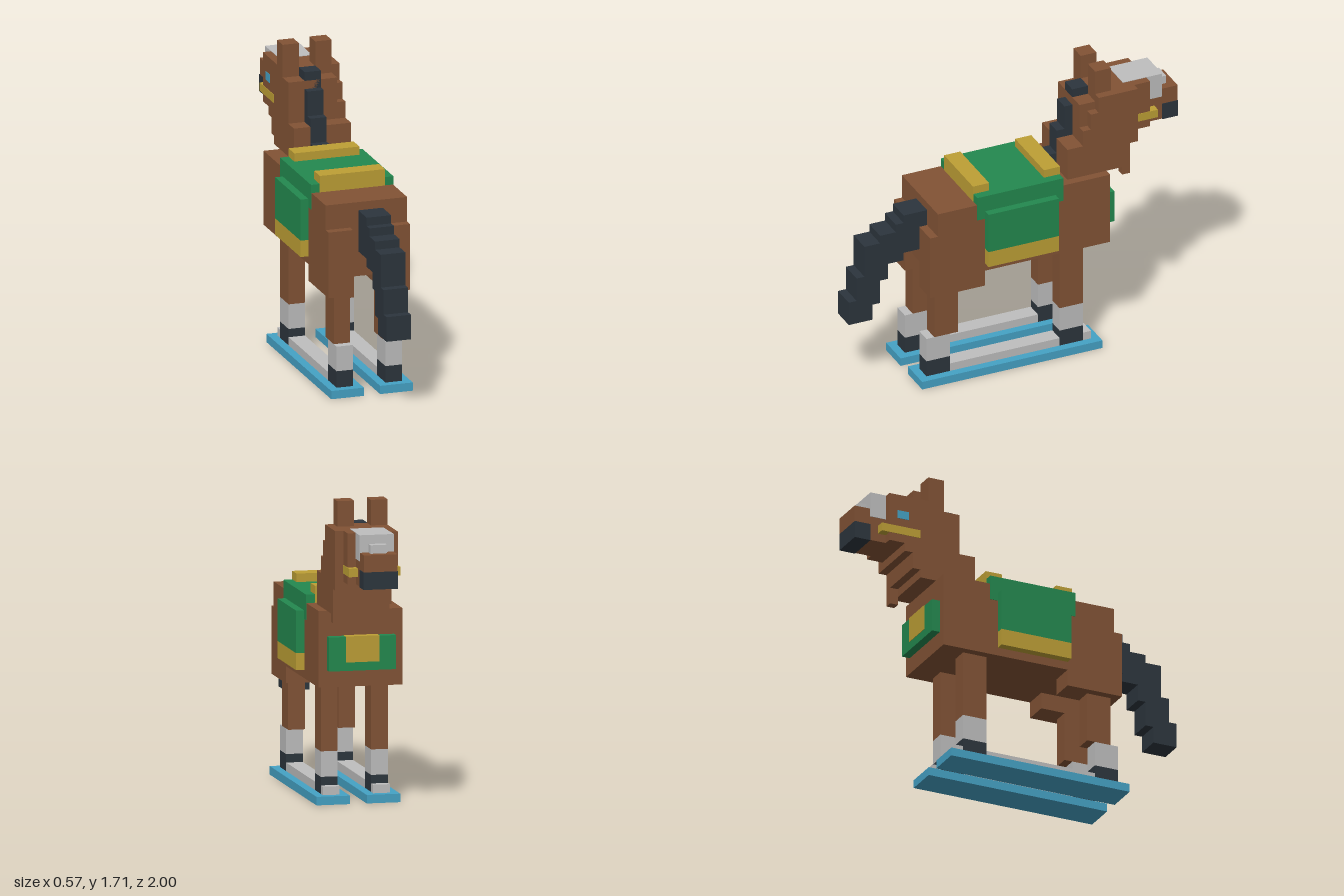
import * as THREE from 'three';

// One block unit: the model is 42 blocks long.
const U = 1 / 21;
// Small lift that keeps flush painted blocks from fighting with what is below.
const E = 0.06;

const material = (name, color) => {
  const m = new THREE.MeshStandardMaterial({ color });
  m.name = name;
  return m;
};

export function createModel() {
  const brown = material('brown coat', 0x825335);
  const dark = material('dark hair', 0x2c353d);
  const grey = material('pale grey', 0xbebebe);
  const green = material('green cloth', 0x23894f);
  const gold = material('gold trim', 0xbd9f35);
  const blue = material('blue', 0x45a2c5);

  const model = new THREE.Group();
  model.name = 'horse';

  const add = (name, geometry, mat) => {
    const mesh = new THREE.Mesh(geometry, mat);
    mesh.name = name;
    model.add(mesh);
  };

  // Box from its block limits along x, y and z.
  const box = (name, mat, x0, x1, y0, y1, z0, z1) => {
    const g = new THREE.BoxGeometry((x1 - x0) * U, (y1 - y0) * U, (z1 - z0) * U);
    g.translate((x0 + x1) / 2 * U, (y0 + y1) / 2 * U, (z0 + z1) / 2 * U);
    add(name, g, mat);
  };

  // The same box on both sides of the body.
  const pair = (name, mat, x0, x1, ...rest) => {
    box(name + 'Left', mat, x0, x1, ...rest);
    box(name + 'Right', mat, -x1, -x0, ...rest);
  };

  // Stepped side profile of [z, y] points, extruded across x.
  const profile = (name, mat, x0, x1, points) => {
    const shape = new THREE.Shape(points.map(([z, y]) => new THREE.Vector2(z * U, y * U)));
    const g = new THREE.ExtrudeGeometry(shape, { depth: (x1 - x0) * U, bevelEnabled: false });
    g.rotateY(-Math.PI / 2);
    g.translate(x1 * U, 0, 0);
    add(name, g, mat);
  };

  // Body and thighs
  box('body', brown, -5, 5, 14, 23, -11, 11);
  pair('thigh', brown, 2, 5, 12, 20, 5, 12);

  // Legs, socks and hooves
  pair('frontLeg', brown, 2, 4, 6, 14, -8, -5);
  pair('hindLeg', brown, 2, 4, 6, 12, 8, 11);
  for (const [label, z] of [['front', -8], ['hind', 9]]) {
    pair(label + 'Sock', grey, 2, 4, 3, 6, z, z + 3);
    pair(label + 'Hoof', dark, 2, 4, 1, 3, z, z + 3);
  }

  // Skis with a pale strip between and ahead of the hooves
  pair('ski', blue, 1, 5, 0, 1, -10, 13);
  pair('skiStrip', grey, 2, 4, 1, 2, -5, 9);
  pair('skiToe', grey, 2, 4, 1, 2, -9, -8);

  // Tail
  profile('tail', dark, -1, 2, [
    [18, 9], [21, 9], [21, 12], [20, 12], [20, 15], [19, 15], [19, 19], [17, 19],
    [17, 20], [15, 20], [15, 21], [14, 21], [14, 22], [11, 22], [11, 17], [14, 17],
    [14, 16], [16, 16], [16, 14], [17, 14], [17, 11], [18, 11],
  ]);

  // Neck with back of the head
  profile('neck', brown, -3, 3, [
    [-6, 23], [-6, 27], [-8, 27], [-8, 32], [-10, 32], [-10, 33], [-15, 33],
    [-15, 26], [-14, 26], [-14, 24], [-13, 24], [-13, 23],
  ]);
  // Thicker layer on one side of the neck
  profile('neckSide', brown, 3, 4, [
    [-6, 23], [-6, 27], [-8, 27], [-8, 29], [-9, 29], [-9, 31], [-10, 31], [-10, 33],
    [-15, 33], [-15, 26], [-14, 26], [-14, 22], [-13, 22], [-13, 23],
  ]);

  // Mane
  profile('mane', dark, -1, 1, [
    [-5, 23], [-5, 25], [-6, 25], [-6, 28], [-7, 28], [-7, 31], [-8, 31], [-8, 33 + E],
    [-10, 33 + E], [-10, 30], [-9, 30], [-9, 23],
  ]);

  // Head, muzzle and ears
  box('head', brown, -3, 3, 27, 33, -17, -15);
  box('muzzle', brown, -2, 2, 27, 31, -21, -17);
  box('nose', dark, -2 - E, 2 + E, 27 - E, 29, -21 - E / 4, -19);
  pair('ear', brown, 1, 3, 33, 36, -12, -10);

  // Pale blaze
  box('blazeTop', grey, -2, 2, 32, 33 + E, -17, -14);
  box('blazeFront', grey, -2 - E, 2 + E, 30, 33 + E, -19, -17);
  box('blazeTip', grey, -1, 1, 31, 32, -20, -19);

  // Bridle and eyes
  pair('bridle', gold, 2, 3 + E, 28, 29, -18, -13);
  box('eye', blue, -3 - E, -2.9, 30, 31, -16, -14.5);

  // Saddle blanket, side flaps and saddle bars
  box('blanket', green, -5 - E, 5 + E, 21, 24, -5, 6);
  pair('flap', green, 5, 6, 17, 22, -4, 5);
  pair('flapTrim', gold, 5, 6, 15, 17, -4, 5);
  box('rearSaddleBar', gold, -4, 4, 23, 25, 4, 6 + E);
  box('frontSaddleBar', gold, -4, 4, 23, 25, -5 - E, -3);

  // Chest cloth with a gold panel
  box('chestCloth', green, -4, 4, 16, 20, -12, -11);
  box('chestPanel', gold, -2, 2, 17, 20 + E, -12 - E, -11);

  return model;
}
